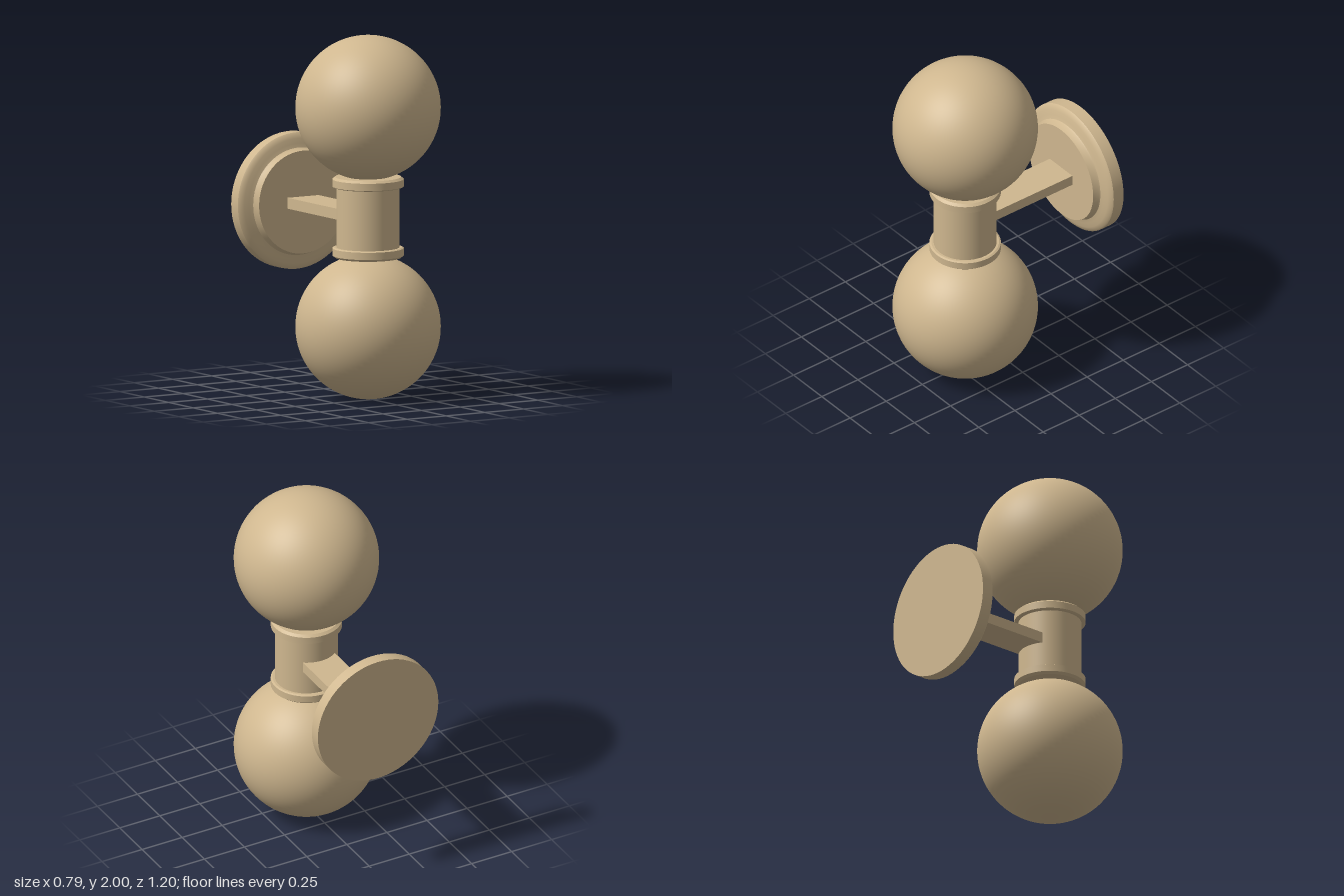
import * as THREE from 'three';
import { toCreasedNormals } from 'three/addons/utils/BufferGeometryUtils.js';

const LAMP_Z = 0.203;
const GLOBE_R = 0.397;

// Revolved solid with crisp edges; profile is [radius, height] from bottom to top
function turned(profile) {
  const points = profile.map(([r, h]) => new THREE.Vector2(r, h));
  return toCreasedNormals(new THREE.LatheGeometry(points, 72), 0.45);
}

export function createModel() {
  const group = new THREE.Group();
  const tan = new THREE.MeshStandardMaterial({ color: 0xcfb78f });
  tan.name = 'warm tan';

  const add = (name, geometry, x, y, z) => {
    const mesh = new THREE.Mesh(geometry, tan);
    mesh.name = name;
    mesh.position.set(x, y, z);
    group.add(mesh);
    return mesh;
  };

  // Central lamp body
  add('lampBody', new THREE.CylinderGeometry(0.172, 0.172, 0.36, 72), 0, 1, LAMP_Z);

  // Collars and globes, mirrored above and below the body
  const collar = turned([[0, 0.165], [0.185, 0.165], [0.195, 0.17], [0.195, 0.21], [0.18, 0.222], [0, 0.222]]);
  const globe = new THREE.SphereGeometry(GLOBE_R, 72, 48);
  for (const [side, s] of [['upper', 1], ['lower', -1]]) {
    const ring = add(side + 'Collar', collar, 0, 1, LAMP_Z);
    if (s < 0) ring.rotation.x = Math.PI;
    add(side + 'Globe', globe, 0, 1 + s * (1 - GLOBE_R), LAMP_Z);
  }

  // Flat arm running back to the wall
  add('arm', new THREE.BoxGeometry(0.2, 0.06, 0.56), 0, 1.004, -0.215);

  // Stepped round wall plate, turned to face forward
  const plate = turned([
    [0, 0], [0.376, 0], [0.376, 0.068], [0.368, 0.076], [0.345, 0.086],
    [0.318, 0.091], [0.296, 0.098], [0.291, 0.106], [0.283, 0.138], [0, 0.138],
  ]);
  add('wallPlate', plate, 0, 1.003, -0.6).rotation.x = Math.PI / 2;

  return group;
}
